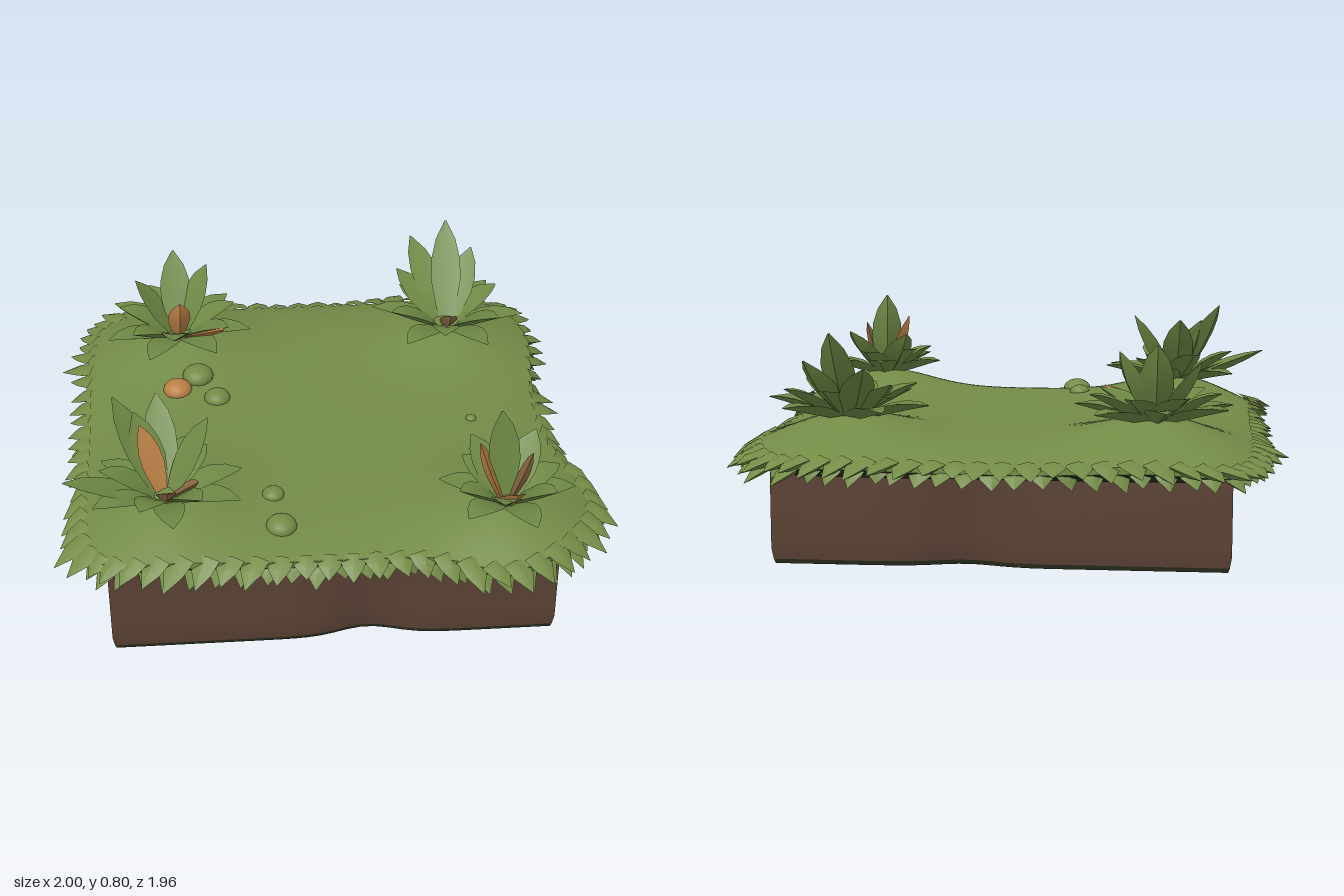
import * as THREE from 'three';
import { mergeGeometries, toCreasedNormals } from 'three/addons/utils/BufferGeometryUtils.js';

const material = (name, color) =>
  Object.assign(new THREE.MeshStandardMaterial({ color }), { name });

const V = (x, y, z) => new THREE.Vector3(x, y, z);
const bump = (d, r) => Math.exp(-(d * d) / (r * r));

// Repeatable variation between 0 and 1
let seed = 7;
const rand = () => (seed = (seed * 16807) % 2147483647) / 2147483647;

// Each plant: centre, number, reach and turn of its spreading leaves,
// then the tips (x, y, z) of its upright leaves by colour
const PLANTS = [
  { name: 'backRightPlant', x: -0.54, z: -0.54, count: 14, reach: 0.29, turn: 0.2,
    green: [[-0.55, 0.76, -0.71], [-0.42, 0.73, -0.64], [-0.7, 0.69, -0.6]],
    orange: [[-0.53, 0.66, -0.46], [-0.36, 0.58, -0.39]] },
  { name: 'backLeftPlant', x: 0.53, z: -0.53, count: 12, reach: 0.3, turn: 0.1,
    green: [[0.55, 0.8, -0.8], [0.42, 0.69, -0.88], [0.65, 0.7, -0.75], [0.35, 0.62, -0.74]],
    tan: [[0.53, 0.58, -0.42]] },
  { name: 'frontRightPlant', x: -0.6, z: 0.53, count: 11, reach: 0.28, turn: 0.3,
    green: [[-0.95, 0.59, 0.58], [-0.77, 0.79, 0.36], [-0.62, 0.74, 0.27], [-0.44, 0.74, 0.44],
      [-0.7, 0.73, 0.37]],
    orange: [[-0.68, 0.7, 0.41]],
    tan: [[-0.59, 0.59, 0.67], [-0.48, 0.57, 0.58]] },
  { name: 'frontLeftPlant', x: 0.59, z: 0.64, count: 11, reach: 0.24, turn: 0,
    green: [[0.57, 0.8, 0.56], [0.71, 0.66, 0.48], [0.48, 0.65, 0.48]],
    orange: [[0.49, 0.71, 0.62], [0.6, 0.6, 0.78]],
    tan: [[0.67, 0.68, 0.65]] },
];

// Turf rises under each plant and dips towards the rim
function turfHeight(x, z) {
  const s = Math.abs(x / 0.92) ** 6 + Math.abs(z / 0.9) ** 6;
  return PLANTS.reduce((y, m) => y + 0.08 * bump(Math.hypot(x - m.x, z - m.z), 0.25),
    0.42 - 0.06 * Math.min(s, 1.3));
}

// Rounded-square rim of the turf, u runs 0..4 around the four sides
function rim(u) {
  const k = Math.floor(u) % 4, f = (u % 1) * 2 - 1;
  const [sx, sz] = [[f, 1], [1, -f], [-f, -1], [-1, f]][k];
  const n = (Math.abs(sx) ** 9 + Math.abs(sz) ** 9) ** (1 / 9);
  const x = sx / n, z = sz / n;
  return [
    x * (x > 0 ? 0.87 + 0.11 * bump(z - 0.65, 0.3) + 0.05 * bump(z + 0.6, 0.3) : 0.965),
    z * (z < 0 ? 0.94 : 0.87 + 0.1 * bump(x - 0.68, 0.25)),
  ];
}

// Joins equal rings of points into a surface
function loft(rings) {
  const n = rings[0].length, index = [];
  for (let i = 0; i < rings.length - 1; i++) {
    for (let j = 0; j < n; j++) {
      const a = i * n + j, b = i * n + (j + 1) % n;
      index.push(a, b, a + n, b, b + n, a + n);
    }
  }
  const g = new THREE.BufferGeometry().setFromPoints(rings.flat());
  g.setIndex(index);
  return g;
}

// Pointed blade with a four-point section, arched from base to tip
function blade(base, tip, width, profile, { thick, cup, lift }) {
  const out = V(tip.x - base.x, 0, tip.z - base.z).normalize();
  const side = V(0, 1, 0).cross(out);
  const mid = base.clone().lerp(tip, 0.5).add(V(0, lift, 0));
  const curve = new THREE.QuadraticBezierCurve3(base, mid, tip);
  const rings = profile.map((p, i) => {
    const t = i / (profile.length - 1), c = curve.getPoint(t);
    const normal = curve.getTangent(t).cross(side);
    const w = width * p / 2, drop = -cup * width * p;
    const at = (s, h) => c.clone().addScaledVector(side, s).addScaledVector(normal, h);
    return [at(w, 0), at(0, drop + thick * p * 0.3), at(-w, 0), at(0, drop - thick * p)];
  });
  return loft(rings);
}

const LEAF = [0.4, 0.75, 1, 0.95, 0.65, 0.05];
const TOOTH = [1, 0.8, 0.03];

// Low leaves fanned around a plant, alternately long and short
function spreadingTips({ x, z, count, reach, turn }) {
  return Array.from({ length: count }, (_, i) => {
    const a = turn + i * 2 * Math.PI / count + (rand() - 0.5) * 0.3;
    const r = reach * (i % 2 ? 0.8 : 1);
    return [x + r * Math.cos(a), (i % 2 ? 0.57 : 0.52) + rand() * 0.03, z + r * Math.sin(a)];
  });
}

// Slab of ground with shallow dents in its sides and a softened foot
function groundSlab(y0, y1, rows) {
  const slab = new THREE.BoxGeometry(1.57, y1 - y0, 1.57, 32, rows, 32);
  slab.translate(0, (y0 + y1) / 2, 0);
  const p = slab.attributes.position;
  for (let i = 0; i < p.count; i++) {
    const x = p.getX(i), y = p.getY(i), z = p.getZ(i);
    const tuck = 1 - 0.015 * bump(y, 0.02);
    const dent = (d) => 0.035 * (1.4 - y / 0.34) * bump(d, 0.14);
    const edge = (v) => Math.sign(v) * Math.abs(v / 0.785) ** 12;
    const nx = x - edge(x) * dent(z - 0.08), nz = z - edge(z) * dent(x - 0.12);
    p.setXYZ(i, nx * tuck - 0.022, y, nz * tuck);
  }
  slab.computeVertexNormals();
  return slab;
}

export function createModel() {
  seed = 7;
  const model = new THREE.Group();
  const grass = material('grass green', 0x748b47);
  const leaf = material('leaf green', 0x6f8945);
  const shade = material('dark underside green', 0x2b3120);
  const soil = material('soil brown', 0x5a4134);
  const orange = material('orange leaf', 0xbb8046);
  const tan = material('faded leaf', 0x8a6a42);
  const add = (name, geometry, mat, parent = model) => {
    const mesh = new THREE.Mesh(geometry, mat);
    mesh.name = name;
    parent.add(mesh);
    return mesh;
  };

  // Soil on a thin dark base
  add('soilBlock', groundSlab(0.016, 0.34, 8), soil);
  add('soilBase', groundSlab(0, 0.016, 1), shade);

  // Turf sheet, and the dark fold beneath its rim
  const steps = 192;
  const ring = (t, yOf) => Array.from({ length: steps }, (_, j) => {
    const [x, z] = rim(j * 4 / steps);
    return V(x * t, yOf(x * t, z * t), z * t);
  });
  const lip = ring(0.94, (x, z) => turfHeight(x, z) - 0.025);
  add('turfUnderside', toCreasedNormals(
    loft([ring(0.72, () => 0.315), ring(0.88, () => 0.315), lip]), 0.9), shade);
  const rings = [lip];
  for (let t = 0.94; t > 0.001; t -= 0.04) rings.push(ring(t, turfHeight));
  rings.push(ring(0.0005, turfHeight));
  add('turf', toCreasedNormals(loft(rings), 0.9), grass);

  // Two rows of grass teeth around the rim, the lower one hanging
  const teeth = [[], []];
  const count = 84;
  teeth.forEach((row, r) => {
    for (let i = 0; i < count; i++) {
      const [x, z] = rim(((i + r * 0.5) * 4 / count) % 4);
      const root = r ? 0.9 : 0.915;
      const reach = (r ? 0.965 : 1.01) + (rand() - 0.5) * 0.04;
      const y = turfHeight(x * root, z * root) - (r ? 0.03 : 0.004);
      const skew = (rand() - 0.5) * 0.03;
      const tip = V(x * reach + skew, (r ? 0.29 : 0.33) + rand() * 0.02, z * reach - skew);
      row.push(blade(V(x * root, y, z * root), tip, 0.095, TOOTH,
        { thick: 0.035, cup: -0.03, lift: 0.012 }));
    }
  });
  add('grassFringe', toCreasedNormals(mergeGeometries(teeth[0]), 0.6), grass);
  add('hangingFringe', toCreasedNormals(mergeGeometries(teeth[1]), 0.6), grass);

  // Leafy plants on the four mounds
  for (const plant of PLANTS) {
    const group = new THREE.Group();
    group.name = plant.name;
    model.add(group);
    const addLeaves = (name, tips, width, lift, mat) => {
      const blades = tips.map(([x, y, z]) => blade(
        V(plant.x + (x - plant.x) * 0.08, 0.47, plant.z + (z - plant.z) * 0.08),
        V(x, y, z), width, LEAF, { thick: 0.022, cup: 0.1, lift }));
      add(name, toCreasedNormals(mergeGeometries(blades), 0.7), mat, group);
    };
    addLeaves('spreadingLeaves', spreadingTips(plant), 0.11, 0.06, leaf);
    addLeaves('uprightLeaves', plant.green, 0.12, 0.03, leaf);
    if (plant.orange) addLeaves('orangeLeaves', plant.orange, 0.09, 0.03, orange);
    if (plant.tan) addLeaves('fadedLeaves', plant.tan, 0.07, 0.03, tan);
  }

  // Small lumps in the turf: x, z, radius, material
  const lumps = [[-0.55, -0.21, 0.055, orange], [-0.4, -0.15, 0.05, grass],
    [-0.47, -0.28, 0.06, grass], [-0.2, 0.65, 0.055, grass], [-0.22, 0.48, 0.04, grass],
    [0.65, 0.38, 0.035, grass], [0.55, 0.05, 0.02, grass]];
  for (const [x, z, r, mat] of lumps) {
    const lump = add('lump', new THREE.SphereGeometry(r, 16, 10), mat);
    lump.position.set(x, turfHeight(x, z), z);
    lump.scale.y = 0.7;
  }
  return model;
}
